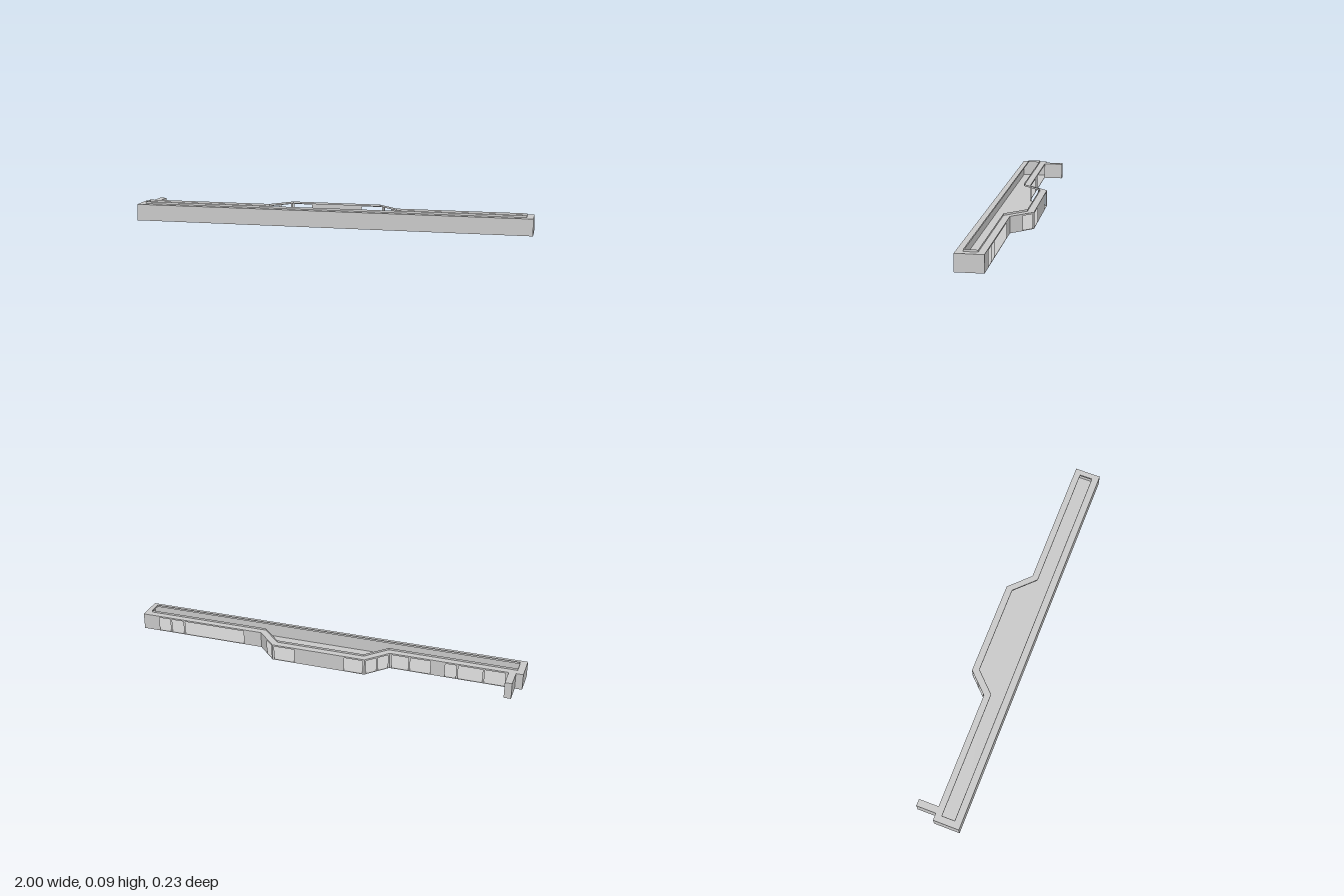
import * as THREE from 'three';

const WALL_TOP = 0.083, RIM_TOP = 0.093, SILL = 0.003, HEAD = 0.075;

// Plan outline [x, z], starting at the front and going round the +x end
const outline = [
  [-1, 0.117], [1, 0.117], [1, -0.015], [0.34, -0.015],
  [0.24, -0.117], [-0.24, -0.117], [-0.34, -0.015], [-1, -0.015],
];
// The same outline set in by the width of the roof ledge
const inset = [
  [-0.967, 0.083], [0.967, 0.083], [0.967, 0.018], [0.326, 0.018],
  [0.226, -0.083], [-0.226, -0.083], [-0.326, 0.018], [-0.967, 0.018],
];

// Openings on each wall, as [start, end] distances along that wall
const openings = {
  2: [[0.09, 0.152], [0.162, 0.227], [0.237, 0.564]],
  3: [[0.077, 0.133]],
  4: [[0.01, 0.115], [0.377, 0.47]],
  5: [[0.01, 0.066], [0.077, 0.133]],
  6: [[0.01, 0.095], [0.105, 0.206], [0.28, 0.335], [0.345, 0.465], [0.475, 0.575]],
};
const wallNames = ['frontWall', 'rightEndWall', 'backWallRight', 'bayRightSlant',
  'bayBack', 'bayLeftSlant', 'backWallLeft', 'leftEndWall'];

function rectPath(Type, x0, y0, x1, y1) {
  const p = new Type();
  p.moveTo(x0, y0);
  p.lineTo(x1, y0);
  p.lineTo(x1, y1);
  p.lineTo(x0, y1);
  p.closePath();
  return p;
}

// Upright sheet between two plan points, with optional openings
function wallSheet(a, b, y0, y1, holes = []) {
  const dx = b[0] - a[0], dz = b[1] - a[1];
  const shape = rectPath(THREE.Shape, 0, y0, Math.hypot(dx, dz), y1);
  holes.forEach(([s, e]) => shape.holes.push(rectPath(THREE.Path, s, SILL, e, HEAD)));
  const geo = new THREE.ShapeGeometry(shape);
  geo.rotateY(Math.atan2(-dz, dx));
  geo.translate(a[0], 0, a[1]);
  return geo;
}

// Level sheet from a plan outline, with an optional hole
function levelSheet(points, y, hole) {
  const toVec = ([x, z]) => new THREE.Vector2(x, -z);
  const shape = new THREE.Shape(points.map(toVec));
  if (hole) shape.holes.push(new THREE.Path(hole.map(toVec)));
  return new THREE.ShapeGeometry(shape).rotateX(-Math.PI / 2).translate(0, y, 0);
}

export function createModel() {
  const model = new THREE.Group();
  model.name = 'building';
  const grey = new THREE.MeshStandardMaterial({ color: 0xc8c8c8, side: THREE.DoubleSide });
  grey.name = 'light grey';

  const add = (name, geo) => {
    const mesh = new THREE.Mesh(geo, grey);
    mesh.name = name;
    model.add(mesh);
  };

  // Floor and the ledge round the open roof
  add('floor', levelSheet(outline, 0));
  add('roofLedge', levelSheet(outline, WALL_TOP, inset));

  // Outer walls and the low upstand on the inner edge of the ledge
  outline.forEach((a, i) => {
    const n = (i + 1) % outline.length;
    add(wallNames[i], wallSheet(a, outline[n], 0, WALL_TOP, openings[i]));
    add('roofUpstand', wallSheet(inset[i], inset[n], WALL_TOP, RIM_TOP));
  });

  // Short block projecting from the back
  const block = new THREE.BoxGeometry(0.035, WALL_TOP, 0.1);
  block.translate(-0.947, WALL_TOP / 2, -0.065);
  add('backBlock', block);

  return model;
}
